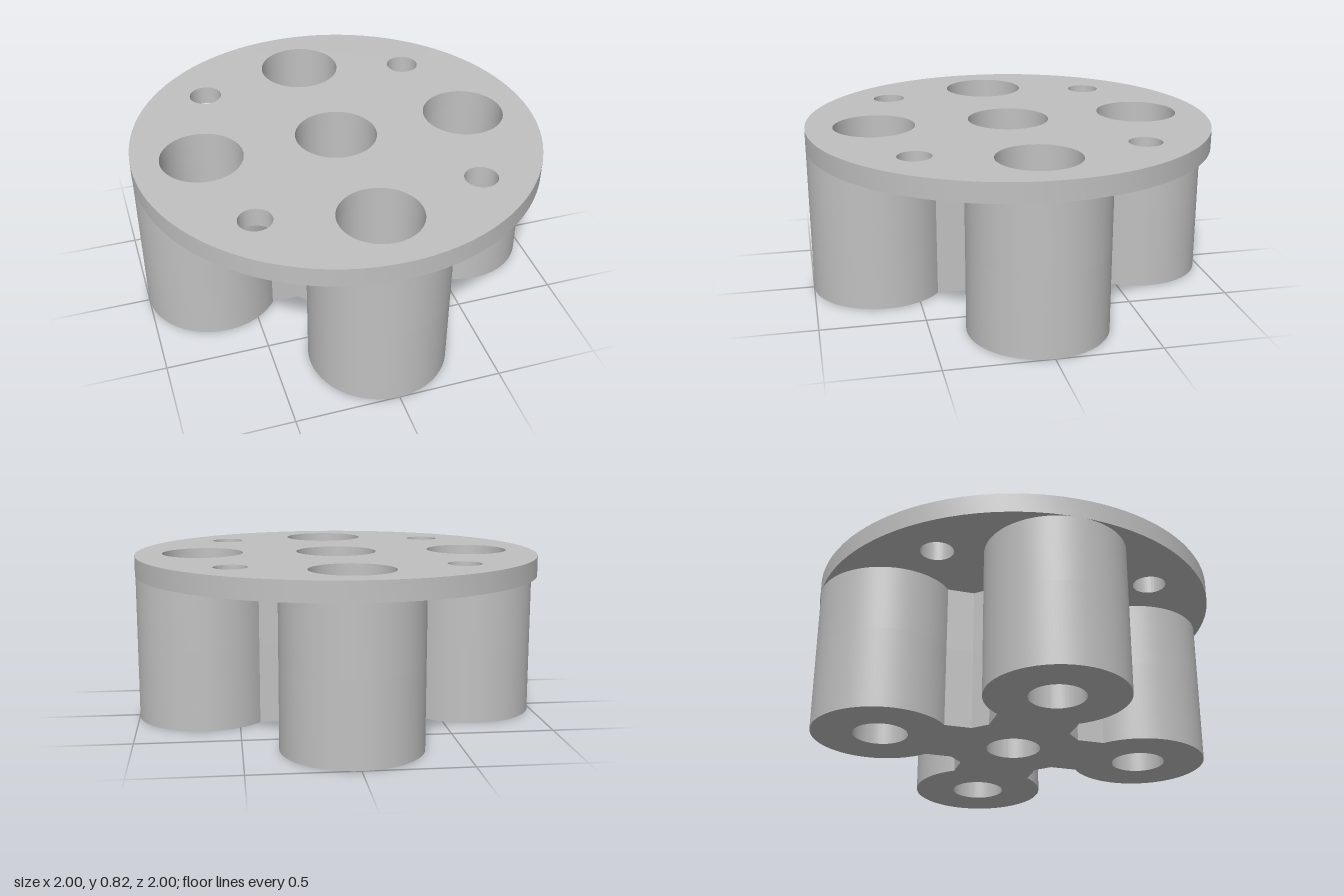
import * as THREE from 'three';
import { toCreasedNormals } from 'three/addons/utils/BufferGeometryUtils.js';

const DISC_R = 1, COLUMN_R = 1 / 3, PITCH = 2 / 3;
const WEB = 0.2, CHAMFER = 0.267;
const BORE_R = 0.133, COUNTERBORE_R = 0.2, BOLT_R = 0.08, BOLT_POS = 0.537;
const LEDGE_Y = 0.4, DISC_Y = 0.727, TOP_Y = 0.823;

function addHole(shape, x, y, r) {
  const hole = new THREE.Path();
  hole.absarc(x, y, r, 0, Math.PI * 2, true);
  shape.holes.push(hole);
}

// One bore in the middle and one in each column
function addBores(shape, r) {
  addHole(shape, 0, 0, r);
  for (let k = 0; k < 4; k++) {
    const a = k * Math.PI / 2;
    addHole(shape, PITCH * Math.cos(a), PITCH * Math.sin(a), r);
  }
}

// Four round columns joined by a cross-shaped web with chamfered inner corners
function bodyShape(boreRadius) {
  const shape = new THREE.Shape();
  const sweep = Math.PI - Math.asin(WEB / COLUMN_R);
  for (let k = 0; k < 4; k++) {
    const a = k * Math.PI / 2, c = Math.cos(a), s = Math.sin(a);
    shape.absarc(PITCH * c, PITCH * s, COLUMN_R, a - sweep, a + sweep, false);
    for (const [x, y] of [[CHAMFER, WEB], [WEB, CHAMFER]]) {
      shape.lineTo(x * c - y * s, x * s + y * c);
    }
  }
  shape.closePath();
  addBores(shape, boreRadius);
  return shape;
}

// Round flange with counterbores and four bolt holes
function discShape() {
  const shape = new THREE.Shape();
  shape.absarc(0, 0, DISC_R, 0, Math.PI * 2, false);
  addBores(shape, COUNTERBORE_R);
  for (const x of [-BOLT_POS, BOLT_POS]) {
    for (const y of [-BOLT_POS, BOLT_POS]) addHole(shape, x, y, BOLT_R);
  }
  return shape;
}

export function createModel() {
  const group = new THREE.Group();
  const material = new THREE.MeshStandardMaterial({ color: 0xc0c0c0 });
  material.name = 'light grey';

  const layer = (name, shape, y0, y1) => {
    const solid = new THREE.ExtrudeGeometry(shape, { depth: y1 - y0, bevelEnabled: false, curveSegments: 48 });
    solid.rotateX(-Math.PI / 2);
    const mesh = new THREE.Mesh(toCreasedNormals(solid, 0.5), material);
    mesh.name = name;
    mesh.position.y = y0;
    group.add(mesh);
  };

  layer('lowerBody', bodyShape(BORE_R), 0, LEDGE_Y);
  layer('upperBody', bodyShape(COUNTERBORE_R), LEDGE_Y, DISC_Y);
  layer('flangeDisc', discShape(), DISC_Y, TOP_Y);
  return group;
}
